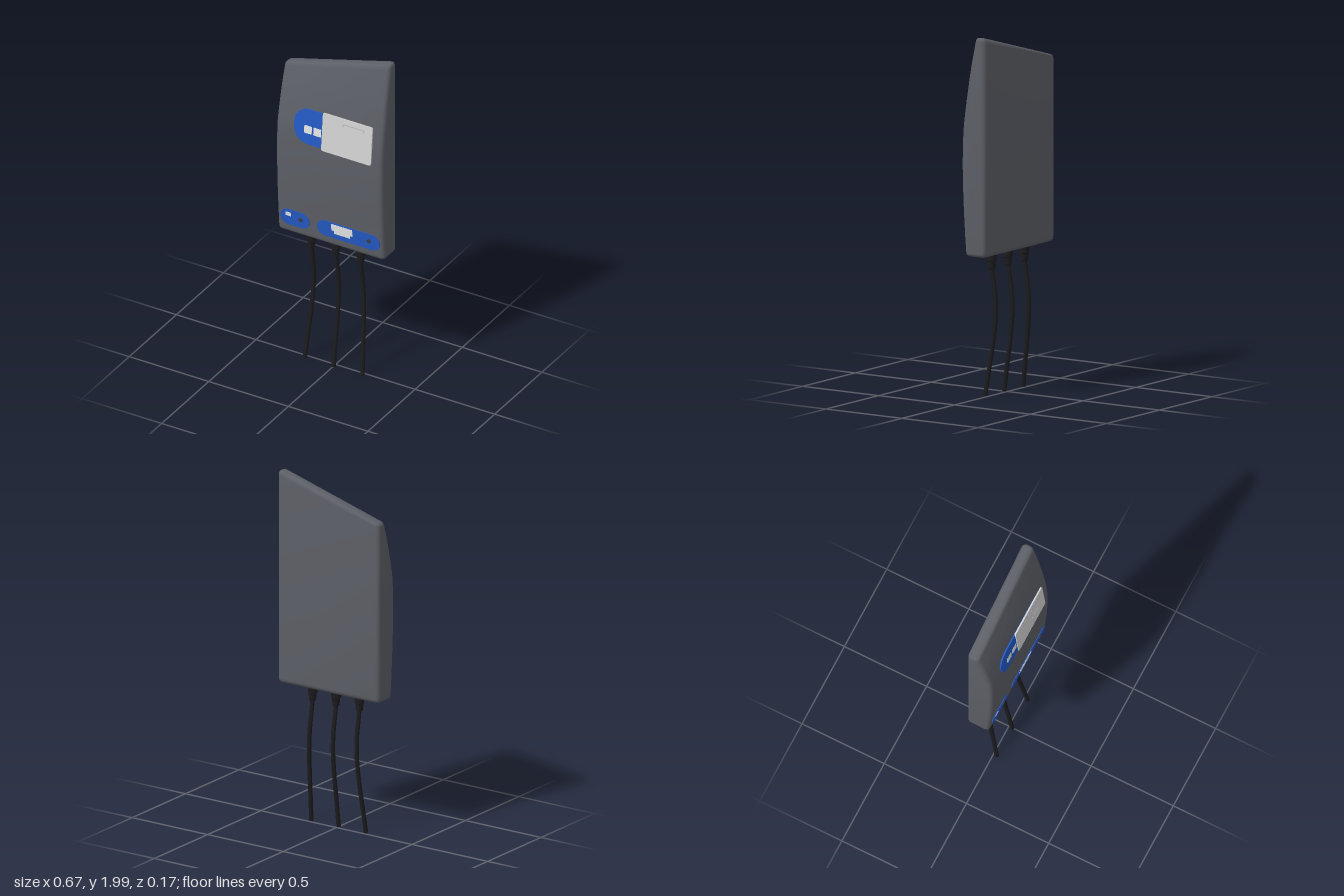
import * as THREE from 'three';
import { toCreasedNormals } from 'three/addons/utils/BufferGeometryUtils.js';

const material = (name, color) => new THREE.MeshStandardMaterial({ name, color });

// Rectangle outline with separate corner radii for the left and right ends
function roundedRect(x0, x1, y0, y1, rl, rr = rl) {
  const s = new THREE.Shape();
  s.moveTo(x0 + rl, y0);
  s.lineTo(x1 - rr, y0);
  s.absarc(x1 - rr, y0 + rr, rr, -Math.PI / 2, 0);
  s.lineTo(x1, y1 - rr);
  s.absarc(x1 - rr, y1 - rr, rr, 0, Math.PI / 2);
  s.lineTo(x0 + rl, y1);
  s.absarc(x0 + rl, y1 - rl, rl, Math.PI / 2, Math.PI);
  s.lineTo(x0, y0 + rl);
  s.absarc(x0 + rl, y0 + rl, rl, Math.PI, Math.PI * 1.5);
  return s;
}

// Side profile swept across the width, then the top sloped down to one side
function bodyGeometry() {
  const bevel = 0.025, width = 0.67, low = 1.45;
  const front = [[0.06, 0.95], [0.069, 1.12], [0.073, 1.3], [0.068, 1.47], [0.053, 1.6], [0.022, 1.8], [-0.012, 1.97]];
  const s = new THREE.Shape();
  s.moveTo(-0.05, 0.81);
  s.splineThru(front.map(([z, y]) => new THREE.Vector2(-z, y)));
  s.quadraticCurveTo(0.016, 2, 0.042, 2);
  s.lineTo(0.053, 2);
  s.quadraticCurveTo(0.083, 2, 0.083, 1.97);
  s.lineTo(0.083, 0.815);
  s.quadraticCurveTo(0.083, 0.785, 0.053, 0.785);
  s.lineTo(-0.022, 0.785);
  s.quadraticCurveTo(-0.048, 0.785, -0.05, 0.81);
  const g = new THREE.ExtrudeGeometry(s, {
    depth: width - 2 * bevel, curveSegments: 6, bevelSegments: 4,
    bevelSize: bevel, bevelThickness: bevel, bevelOffset: -bevel,
  });
  g.translate(0, 0, -width / 2 + bevel);
  g.rotateY(Math.PI / 2);
  const p = g.attributes.position;
  for (let i = 0; i < p.count; i++) {
    const y = p.getY(i);
    const drop = 0.19 * (0.5 - p.getX(i) / width);
    p.setY(i, y - drop * Math.max(0, (y - low) / (2 - low)));
  }
  return toCreasedNormals(g, 0.5);
}

export function createModel() {
  const model = new THREE.Group();
  model.name = 'wallUnit';
  const grey = material('body grey', 0x5c5f66);
  const blue = material('panel blue', 0x2459c4);
  const light = material('cover light grey', 0xd2d2d2);
  const white = material('socket white', 0xe4e6e8);
  const shade = material('recess grey', 0xb4b4b4);
  const dark = material('button dark grey', 0x3c3f46);
  const black = material('cable black', 0x1c1c1e);

  function add(parent, name, geometry, mat) {
    const m = new THREE.Mesh(geometry, mat);
    m.name = name;
    parent.add(m);
    return m;
  }
  // Flat plate from z0 to z1 in its panel's tilted frame
  function plate(parent, name, shape, mat, z0, z1) {
    const g = new THREE.ExtrudeGeometry(shape, { depth: z1 - z0, bevelEnabled: false, curveSegments: 12 });
    g.translate(0, 0, z0);
    return add(parent, name, toCreasedNormals(g, 0.5), mat);
  }
  function panel(name, y, z, tilt) {
    const g = new THREE.Group();
    g.name = name;
    g.position.set(0, y, z);
    g.rotation.x = tilt;
    model.add(g);
    return g;
  }

  add(model, 'body', bodyGeometry(), grey);

  // Upper panel with its sliding cover
  const upper = panel('upperPanel', 1.505, 0.06, -0.09);
  plate(upper, 'upperPlate', roundedRect(-0.22, 0.265, -0.105, 0.105, 0.09), blue, 0, 0.0085);
  for (const x of [-0.155, -0.097]) {
    plate(upper, 'portWindow', roundedRect(x, x + 0.048, -0.04, 0.007, 0.003), white, 0.008, 0.0097);
  }
  plate(upper, 'cover', roundedRect(-0.042, 0.27, -0.115, 0.115, 0.01), light, 0.005, 0.0135);
  plate(upper, 'coverGripShadow', roundedRect(0.085, 0.22, 0.065, 0.085, 0.003), shade, 0.013, 0.0138);
  plate(upper, 'coverGrip', roundedRect(0.089, 0.216, 0.063, 0.08, 0.003), light, 0.013, 0.0142);
  plate(upper, 'coverMark', roundedRect(0.13, 0.205, -0.022, -0.012, 0.002), light, 0.013, 0.0142);

  // Lower connector panels
  const lower = panel('lowerPanels', 0.89, 0.052, 0.065);
  plate(lower, 'smallPlate', roundedRect(-0.31, -0.13, -0.05, 0.05, 0.049), blue, 0, 0.008);
  plate(lower, 'largePlate', roundedRect(-0.08, 0.312, -0.05, 0.05, 0.049), blue, 0, 0.008);
  plate(lower, 'smallSocket', roundedRect(-0.277, -0.244, 0.008, 0.031, 0.002), white, 0.007, 0.0095);
  const plug = new THREE.Shape([[0.01, 0.042], [0.01, -0.001], [0.026, -0.001], [0.026, -0.018],
    [0.126, -0.018], [0.126, -0.001], [0.142, -0.001], [0.142, 0.042]].map(([x, y]) => new THREE.Vector2(x, y)));
  plate(lower, 'largeSocket', plug, white, 0.007, 0.0095);
  for (const x of [-0.183, 0.245]) {
    const button = add(lower, 'button', new THREE.CylinderGeometry(0.012, 0.012, 0.008, 20), dark);
    button.rotation.x = Math.PI / 2;
    button.position.set(x, 0.005, 0.0095);
  }

  // Cable glands and hanging cables
  const gland = [[0, 0.79], [0.026, 0.79], [0.026, 0.742], [0.022, 0.738], [0.019, 0.7], [0.012, 0.695], [0, 0.695]];
  const glandGeometry = toCreasedNormals(
    new THREE.LatheGeometry(gland.map(([r, y]) => new THREE.Vector2(r, y)).reverse(), 20), 0.6);
  for (const side of [-1, 0, 1]) {
    const x = side * 0.155;
    add(model, 'cableGland', glandGeometry, black).position.set(x, 0, -0.005);
    const path = new THREE.CatmullRomCurve3([
      [0, 0.72, -0.004], [0, 0.66, -0.012], [0, 0.56, -0.028], [0.002, 0.46, -0.034],
      [0.008, 0.31, -0.022], [0.017, 0.15, 0], [0.026, 0.002, 0.02],
    ].map(([dx, y, z]) => new THREE.Vector3(x + side * dx, y, z)));
    add(model, 'cable', new THREE.TubeGeometry(path, 32, 0.012, 12), black);
    // Closed lower end
    const end = add(model, 'cableEnd', new THREE.CylinderGeometry(0.012, 0.012, 0.004, 12), black);
    end.position.set(x + side * 0.026, 0.003, 0.02);
  }
  return model;
}
